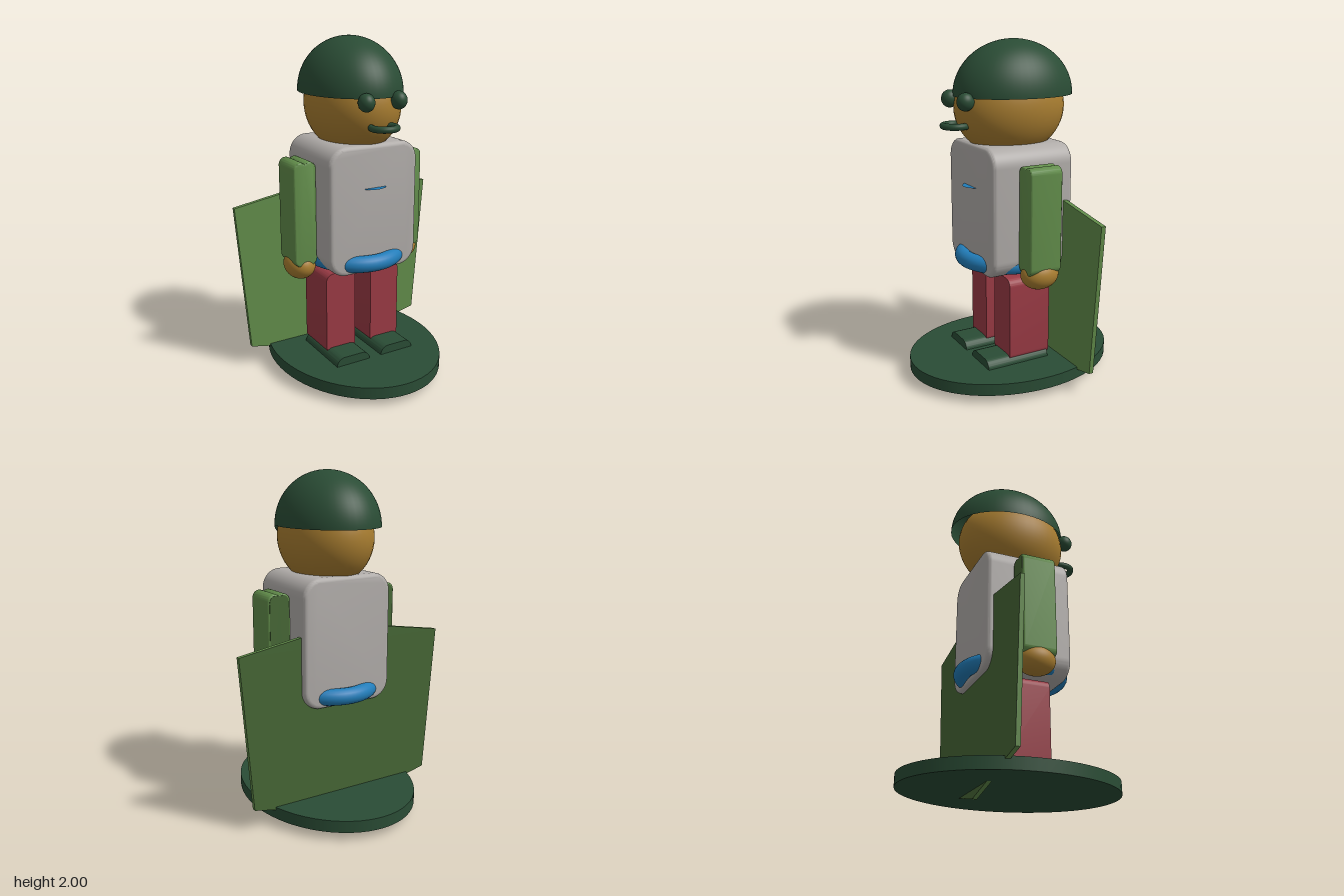
import * as THREE from 'three';
import { toCreasedNormals } from 'three/addons/utils/BufferGeometryUtils.js';

const mat = (name, color, extra = {}) => new THREE.MeshStandardMaterial({ name, color, ...extra });

// Rounded rectangle outline in x/y
function roundedRect(x0, y0, x1, y1, r) {
  const s = new THREE.Shape();
  s.absarc(x1 - r, y0 + r, r, -Math.PI / 2, 0);
  s.absarc(x1 - r, y1 - r, r, 0, Math.PI / 2);
  s.absarc(x0 + r, y1 - r, r, Math.PI / 2, Math.PI);
  s.absarc(x0 + r, y0 + r, r, Math.PI, Math.PI * 1.5);
  s.closePath();
  return s;
}

// Upright arm outline with a pair of overlapping bumps at each end
function armOutline(lo, hi) {
  const s = new THREE.Shape();
  const r = 0.042, d = 0.028, a = Math.PI - Math.acos(d / r);
  s.absarc(d, hi - r, r, 0, a);
  s.absarc(-d, hi - r, r, Math.PI - a, Math.PI);
  s.absarc(-d, lo + r, r, Math.PI, Math.PI + a);
  s.absarc(d, lo + r, r, Math.PI * 2 - a, Math.PI * 2);
  s.closePath();
  return s;
}

// Extrusion between two z values, with an optional rounded edge
function extrude(shape, z0, z1, bevel = 0) {
  const g = new THREE.ExtrudeGeometry(shape, {
    depth: z1 - z0 - 2 * bevel, curveSegments: 10, bevelEnabled: bevel > 0,
    bevelSize: bevel, bevelThickness: bevel, bevelOffset: -bevel, bevelSegments: 4,
  });
  g.translate(0, 0, z0 + bevel);
  return toCreasedNormals(g, 0.6);
}

export function createModel() {
  const group = new THREE.Group();
  const darkGreen = mat('dark green', 0x2a4c35, { side: THREE.DoubleSide });
  const skin = mat('tan', 0xa87d30);
  const grey = mat('warm grey', 0xb0aca9);
  const green = mat('leaf green', 0x618c4a);
  const shadeGreen = mat('deep leaf green', 0x466635);
  const red = mat('red', 0x993a44);
  const blue = mat('blue', 0x227db9);

  function add(name, geometry, material, pos = [0, 0, 0], scale = [1, 1, 1]) {
    const m = new THREE.Mesh(geometry, material);
    m.name = name;
    m.position.set(...pos);
    m.scale.set(...scale);
    group.add(m);
  }
  const ball = new THREE.SphereGeometry(1, 40, 28);

  // Oval stand
  add('base', new THREE.CylinderGeometry(1, 1, 0.07, 64), darkGreen, [0, 0.083, 0], [0.5, 1, 0.64]);

  // Cape panel with a deeper green back
  const cape = new THREE.Shape([
    [0, 0], [0.6, 0.13], [0.673, 1.03], [0, 1.14], [-0.673, 1.03], [-0.6, 0.13],
  ].map(([x, y]) => new THREE.Vector2(x, y)));
  add('cape', extrude(cape, -0.22, -0.195), green);
  add('capeBack', extrude(cape, -0.222, -0.22), shadeGreen);

  // Torso and oval belt
  add('torso', extrude(roundedRect(-0.29, 0.665, 0.29, 1.42, 0.11), -0.257, 0.257, 0.025), grey);
  const belt = new THREE.TorusGeometry(0.288, 0.049, 20, 64);
  belt.rotateX(Math.PI / 2);
  add('belt', belt, blue, [0, 0.728, 0], [0.91, 1, 1]);

  // Flat disc edge showing at the chest, facing up
  const disc = new THREE.CircleGeometry(0.09, 40);
  disc.rotateX(-Math.PI / 2);
  add('chestDisc', disc, blue, [0, 1.17, 0.21]);

  const arm = armOutline(0.71, 1.327);
  const armGeometry = extrude(arm, -0.1, 0.1, 0.01);
  const armBackGeometry = extrude(armOutline(0.718, 1.319), -0.102, -0.1);
  armBackGeometry.scale(0.86, 1, 1);
  const legGeometry = extrude(roundedRect(-0.098, 0.125, 0.098, 0.645, 0.05), -0.133, 0.133);
  const shoeGeometry = extrude(roundedRect(-0.112, 0.06, 0.112, 0.169, 0.053), -0.12, 0.28);

  // Paired limbs and eyes
  for (const [side, s] of [['left', 1], ['right', -1]]) {
    add(side + 'Arm', armGeometry, green, [s * 0.361, 0, 0]);
    add(side + 'ArmBack', armBackGeometry, shadeGreen, [s * 0.361, 0, 0]);
    add(side + 'Hand', ball, skin, [s * 0.358, 0.698, 0], [0.089, 0.087, 0.115]);
    add(side + 'Leg', legGeometry, red, [s * 0.153, 0, 0]);
    add(side + 'Shoe', shoeGeometry, darkGreen, [s * 0.152, 0, 0]);
    add(side + 'Eye', ball, darkGreen, [s * 0.104, 1.668, 0.33], [0.046, 0.051, 0.05]);
  }

  // Head, ring mouth and open dome helmet
  add('head', ball, skin, [0, 1.62, 0], [0.262, 0.29, 0.336]);
  const mouth = new THREE.TorusGeometry(0.07, 0.019, 14, 40);
  mouth.rotateX(Math.PI / 2);
  add('mouth', mouth, darkGreen, [0, 1.527, 0.345]);
  const dome = new THREE.SphereGeometry(1, 48, 20, 0, Math.PI * 2, 0, Math.PI / 2);
  add('helmet', dome, darkGreen, [0, 1.685, -0.025], [0.286, 0.315, 0.363]);

  return group;
}
